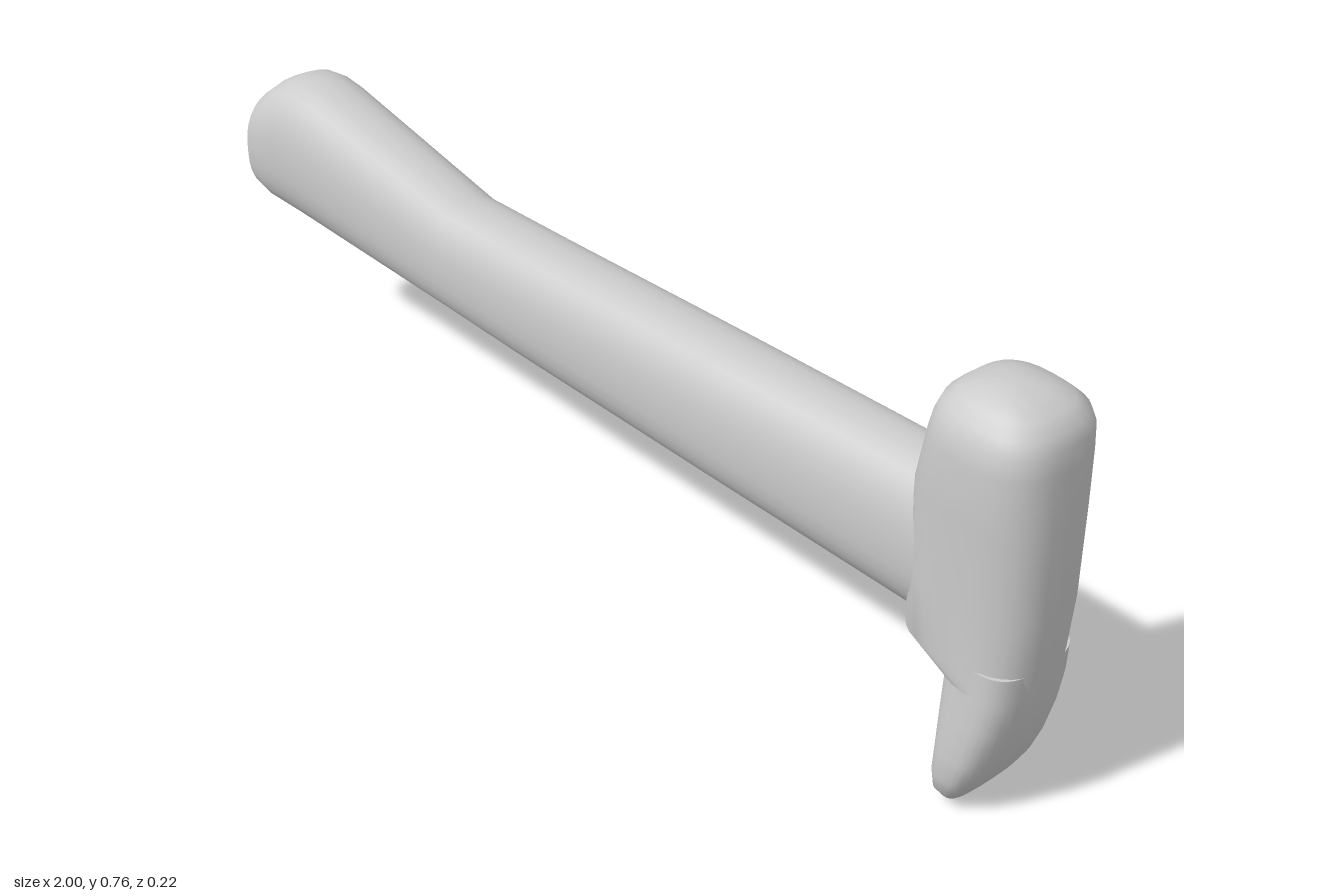
import * as THREE from 'three';
import { toCreasedNormals } from 'three/addons/utils/BufferGeometryUtils.js';

const SIDES = 32;

// Skin a row of rounded cross-sections [t, uMin, uMax, vMin, vMax] and close both ends.
// place(t, u, v) returns the point; t, u, v must be a right-handed set of axes.
function loft(sections, power, place) {
  const points = [], index = [];
  const bend = (c) => Math.sign(c) * Math.abs(c) ** (2 / power);
  for (const [t, u0, u1, v0, v1] of sections) {
    for (let j = 0; j < SIDES; j++) {
      const a = (j / SIDES) * Math.PI * 2;
      const u = (u0 + u1) / 2 + (bend(Math.cos(a)) * (u1 - u0)) / 2;
      const v = (v0 + v1) / 2 + (bend(Math.sin(a)) * (v1 - v0)) / 2;
      points.push(...place(t, u, v));
    }
  }
  const last = sections.length - 1;
  for (const [t, u0, u1, v0, v1] of [sections[0], sections[last]]) {
    points.push(...place(t, (u0 + u1) / 2, (v0 + v1) / 2));
  }
  const startCentre = sections.length * SIDES, endCentre = startCentre + 1;
  for (let j = 0; j < SIDES; j++) {
    const k = (j + 1) % SIDES;
    for (let i = 0; i < last; i++) {
      const a = i * SIDES + j, b = i * SIDES + k;
      index.push(a, b, a + SIDES, b, b + SIDES, a + SIDES);
    }
    index.push(startCentre, k, j, endCentre, last * SIDES + j, last * SIDES + k);
  }
  const geometry = new THREE.BufferGeometry();
  geometry.setAttribute('position', new THREE.Float32BufferAttribute(points, 3));
  geometry.setIndex(index);
  return toCreasedNormals(geometry, 0.6);
}

export function createModel() {
  const group = new THREE.Group();
  const material = new THREE.MeshStandardMaterial({ color: 0xcccccc });
  const add = (name, geometry) => {
    const mesh = new THREE.Mesh(geometry, material);
    mesh.name = name;
    group.add(mesh);
  };

  // Handle: x, then y range, then z range; a swollen grip tapers into a straight shaft
  add('handle', loft([
    [-1.0, 0.36, 0.49, -0.06, 0.05],
    [-0.99, 0.335, 0.515, -0.09, 0.075],
    [-0.97, 0.32, 0.54, -0.105, 0.088],
    [-0.93, 0.311, 0.572, -0.111, 0.094],
    [-0.89, 0.31, 0.592, -0.11, 0.094],
    [-0.85, 0.309, 0.598, -0.109, 0.093],
    [-0.80, 0.307, 0.594, -0.107, 0.091],
    [-0.40, 0.299, 0.52, -0.09, 0.08],
    [-0.20, 0.294, 0.526, -0.091, 0.081],
    [0.30, 0.292, 0.545, -0.094, 0.086],
    [0.86, 0.29, 0.564, -0.094, 0.088],
  ], 2.5, (x, y, z) => [x, y, z]));

  // Striking head with its collar: y, then z range, then x range
  add('head', loft([
    [0.25, -0.088, 0.098, 0.84, 0.986],
    [0.29, -0.091, 0.1, 0.742, 0.991],
    [0.40, -0.095, 0.1, 0.738, 0.998],
    [0.56, -0.102, 0.104, 0.74, 0.995],
    [0.66, -0.107, 0.109, 0.761, 0.99],
    [0.695, -0.108, 0.104, 0.768, 0.986],
    [0.718, -0.1, 0.092, 0.776, 0.977],
    [0.738, -0.078, 0.074, 0.797, 0.957],
    [0.75, -0.05, 0.05, 0.825, 0.925],
    [0.757, -0.02, 0.025, 0.855, 0.895],
  ], 2.7, (y, z, x) => [x, y, z]));

  // Claw: a blade that curves inward to a blunt tip
  add('claw', loft([
    [0.0, -0.045, 0.06, 0.865, 0.885],
    [0.012, -0.065, 0.082, 0.854, 0.9],
    [0.035, -0.079, 0.1, 0.849, 0.917],
    [0.07, -0.085, 0.11, 0.847, 0.937],
    [0.12, -0.087, 0.109, 0.845, 0.957],
    [0.19, -0.088, 0.104, 0.842, 0.976],
    [0.25, -0.088, 0.098, 0.84, 0.986],
    [0.30, -0.088, 0.096, 0.84, 0.988],
  ], 3, (y, z, x) => [x, y, z]));

  return group;
}
